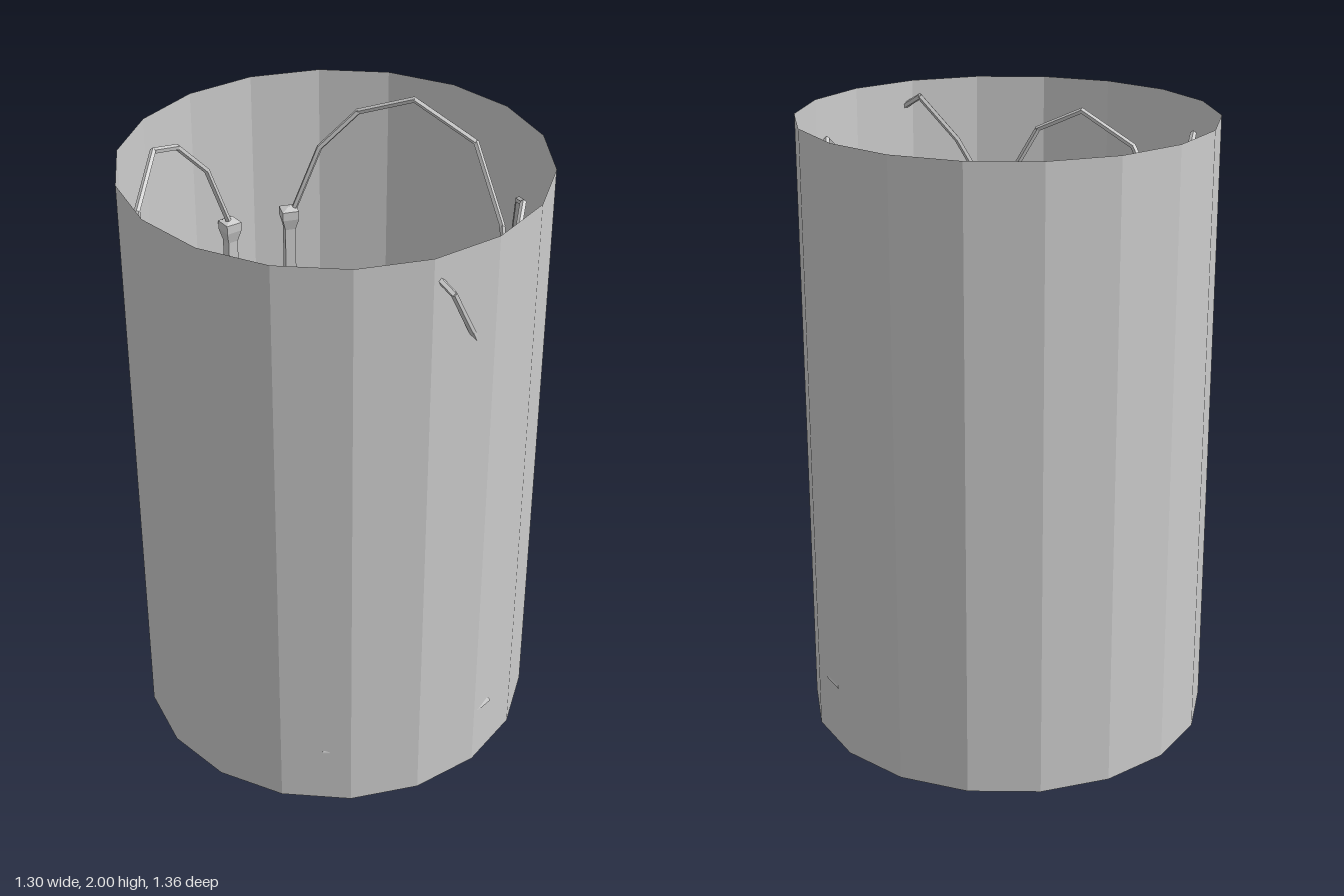
import * as THREE from 'three';

const CZ = -0.0225;   // centre of the round body in z
const FLOOR = 0.2;    // arena floor height

export function createModel() {
  const model = new THREE.Group();
  const grey = new THREE.MeshStandardMaterial({ color: 0xcccccc, flatShading: true });
  const greyDouble = new THREE.MeshStandardMaterial({ color: 0xcccccc, flatShading: true, side: THREE.DoubleSide });

  const add = (geometry, name, x = 0, y = 0, z = 0, material = grey, parent = model) => {
    const mesh = new THREE.Mesh(geometry, material);
    mesh.name = name;
    mesh.position.set(x, y, z);
    parent.add(mesh);
    return mesh;
  };
  const lathe = (profile, sides) =>
    new THREE.LatheGeometry(profile.map(([r, y]) => new THREE.Vector2(r, y)), sides);

  // Open-topped 18-sided wall with a closed underside
  add(new THREE.CylinderGeometry(0.657, 0.657, 2, 18, 1, true), 'outerWall', 0, 1, CZ, greyDouble);
  const underside = add(new THREE.CircleGeometry(0.657, 18), 'underside', 0, 0, CZ, greyDouble);
  underside.rotation.set(Math.PI / 2, 0, Math.PI / 2);

  // Arena floor, then a low stage that rises gently towards the middle
  const floor = add(new THREE.CircleGeometry(0.655, 18), 'arenaFloor', 0, FLOOR, CZ, greyDouble);
  floor.rotation.set(-Math.PI / 2, 0, Math.PI / 2);
  add(lathe([[0.54, 0], [0.54, 0.02], [0.415, 0.02], [0.335, 0.035], [0, 0.035]], 14),
    'stage', 0, FLOOR, CZ);

  // Inlaid half-discs, split by a centre line
  const halfDisc = (radius, height, y, name) => {
    const gap = 0.013, a = Math.acos(gap / radius);
    const shape = new THREE.Shape();
    shape.absarc(0, 0, radius, -a, a, false);
    shape.closePath();
    const geometry = new THREE.ExtrudeGeometry(shape, { depth: height, bevelEnabled: false, curveSegments: 5 });
    geometry.rotateX(-Math.PI / 2);
    for (const turn of [0, Math.PI]) add(geometry, name, -0.002, y, CZ).rotation.y = turn;
  };
  halfDisc(0.234, 0.006, FLOOR + 0.034, 'outerMarking');
  halfDisc(0.137, 0.006, FLOOR + 0.038, 'innerMarking');

  // Small round pads at the two ends of the stage
  for (const z of [-0.5, 0.455])
    add(new THREE.CylinderGeometry(0.05, 0.05, 0.008, 24), 'startPad', -0.008, FLOOR + 0.022, z);

  // Square posts with a flared foot and cap, turned to face the centre
  const R2 = Math.SQRT2;
  const postGeometry = lathe([
    [0, 0], [0.042, 0], [0.042, 0.004], [0.022, 0.05], [0.018, 0.08],
    [0.018, 1.26], [0.028, 1.3], [0.028, 1.33], [0, 1.34],
  ].map(([r, y]) => [r * R2, y]), 4);
  postGeometry.rotateY(Math.PI / 4);
  const posts = [
    [0.607, -0.02], [-0.6, -0.02], [0.25, 0.535], [-0.25, 0.53], [0.1, -0.615], [-0.115, -0.615],
  ];
  for (const [x, z] of posts)
    add(postGeometry, 'post', x, FLOOR, z).rotation.y = Math.atan2(x, z - CZ);

  // Bent rods arching from post to post
  const up = new THREE.Vector3(0, 1, 0);
  const rod = (name, points) => {
    const group = new THREE.Group();
    group.name = name;
    const path = points.map((p) => new THREE.Vector3(...p));
    for (let i = 0; i < path.length - 1; i++) {
      const dir = path[i + 1].clone().sub(path[i]);
      const mid = path[i].clone().add(path[i + 1]).multiplyScalar(0.5);
      const piece = add(new THREE.CylinderGeometry(0.01, 0.01, dir.length() + 0.006, 5),
        'rodSegment', mid.x, mid.y, mid.z, grey, group);
      piece.quaternion.setFromUnitVectors(up, dir.normalize());
    }
    model.add(group);
  };
  for (const side of [1, -1]) {
    rod('rearArch', [
      [0.115, 1.52, -0.615], [0.2, 1.75, -0.585], [0.315, 1.88, -0.53],
      [0.445, 1.96, -0.38], [0.57, 1.87, -0.19], [0.602, 1.63, -0.05], [0.604, 1.52, -0.02],
    ].map(([x, y, z]) => [x * side, y, z]));
    rod('sideArch', [
      [0.604, 1.52, -0.01], [0.6, 1.64, 0.03], [0.555, 1.815, 0.12], [0.465, 1.91, 0.3],
      [0.37, 1.835, 0.43], [0.28, 1.63, 0.505], [0.25, 1.52, 0.53],
    ].map(([x, y, z]) => [x * side, y, z]));
  }
  // The front arch has a kink that pokes out through the wall
  rod('frontArch', [
    [-0.25, 1.52, 0.53], [-0.22, 1.64, 0.545], [-0.13, 1.8, 0.56], [0, 1.955, 0.58],
    [0.045, 1.895, 0.667], [0.14, 1.72, 0.61], [0.25, 1.52, 0.535],
  ]);

  return model;
}
